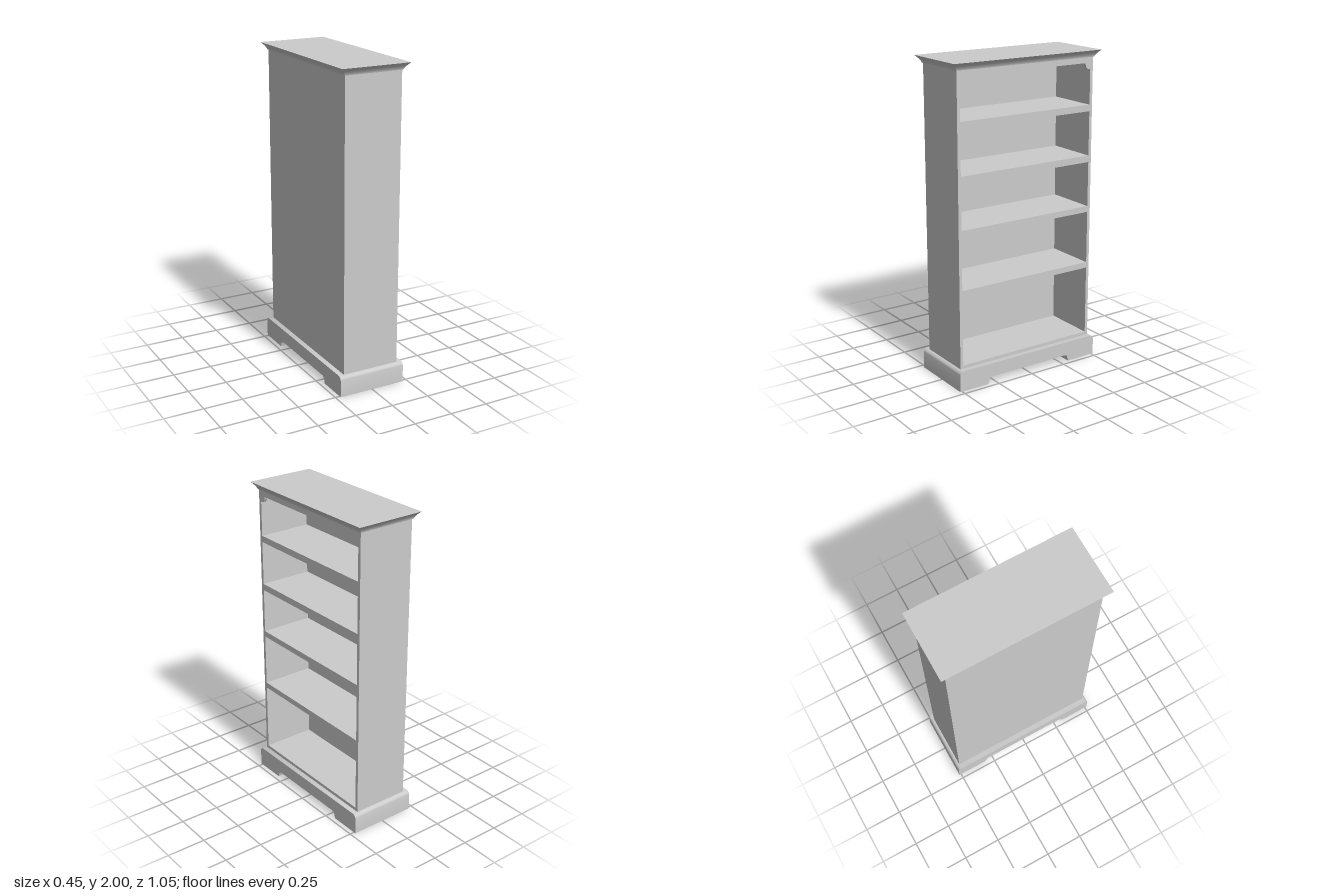
import * as THREE from 'three';
import { toCreasedNormals } from 'three/addons/utils/BufferGeometryUtils.js';

const grey = new THREE.MeshStandardMaterial({ color: 0xcccccc });

// Extrudes a profile drawn in (z, y) along x, from x0 to x1
function extrudeX(shape, x0, x1) {
  const g = new THREE.ExtrudeGeometry(shape, { depth: x1 - x0, bevelEnabled: false, curveSegments: 8 });
  g.rotateY(Math.PI / 2);
  g.translate(x0, 0, 0);
  return toCreasedNormals(g, 0.6);
}

function rect(Type, halfW, y0, y1) {
  const s = new Type();
  s.moveTo(-halfW, y0);
  s.lineTo(halfW, y0);
  s.lineTo(halfW, y1);
  s.lineTo(-halfW, y1);
  s.closePath();
  return s;
}

export function createModel() {
  const group = new THREE.Group();
  const add = (name, geometry) => {
    const mesh = new THREE.Mesh(geometry, grey);
    mesh.name = name;
    group.add(mesh);
    return mesh;
  };

  const bodyX = 0.186, bodyZ = 0.49, openZ = 0.47;
  const baseTop = 0.132, bodyTop = 1.956, backX = -0.157;

  // Sides and shelves: one slab pierced by the five compartments
  const carcass = rect(THREE.Shape, bodyZ, baseTop, bodyTop);
  const openings = [[0.153, 0.598], [0.635, 0.972], [1.01, 1.297], [1.339, 1.62], [1.661, 1.92]];
  for (const [y0, y1] of openings) carcass.holes.push(rect(THREE.Path, openZ, y0, y1));
  add('sidesAndShelves', extrudeX(carcass, backX, bodyX));

  // Back panel
  const back = new THREE.BoxGeometry(bodyX + backX, bodyTop - baseTop, 2 * bodyZ);
  add('backPanel', back).position.set((backX - bodyX) / 2, (bodyTop + baseTop) / 2, 0);

  // Small curved brackets in the top corners of the opening
  for (const s of [-1, 1]) {
    const b = new THREE.Shape();
    b.moveTo(s * openZ, 1.92);
    b.lineTo(s * 0.432, 1.92);
    b.quadraticCurveTo(s * 0.436, 1.888, s * 0.455, 1.882);
    b.lineTo(s * openZ, 1.882);
    b.closePath();
    add(s > 0 ? 'leftwardBracket' : 'rightwardBracket', extrudeX(b, bodyX - 0.02, bodyX));
  }

  // Plinth with rounded shoulders and a scalloped cut-out between the feet
  const p = new THREE.Shape();
  p.moveTo(-0.513, 0);
  p.lineTo(-0.309, 0);
  p.bezierCurveTo(-0.303, 0.03, -0.297, 0.043, -0.28, 0.044);
  p.lineTo(0.28, 0.044);
  p.bezierCurveTo(0.297, 0.043, 0.303, 0.03, 0.309, 0);
  p.lineTo(0.513, 0);
  p.lineTo(0.513, 0.104);
  p.quadraticCurveTo(0.512, 0.127, 0.49, baseTop);
  p.lineTo(-0.49, baseTop);
  p.quadraticCurveTo(-0.512, 0.127, -0.513, 0.104);
  p.closePath();
  add('plinth', extrudeX(p, -0.22, 0.22));

  // Crown moulding: a box flared outwards in a shallow cove
  const h = 2 - bodyTop;
  const crown = new THREE.BoxGeometry(2 * bodyX, h, 2 * bodyZ, 1, 8, 1);
  const pos = crown.attributes.position;
  for (let i = 0; i < pos.count; i++) {
    const t = pos.getY(i) / h + 0.5;
    const out = 0.005 + 0.032 * Math.pow(t, 1.4);
    pos.setX(i, pos.getX(i) + Math.sign(pos.getX(i)) * out);
    pos.setZ(i, pos.getZ(i) + Math.sign(pos.getZ(i)) * out);
  }
  crown.computeVertexNormals();
  add('crown', crown).position.y = bodyTop + h / 2;

  return group;
}
